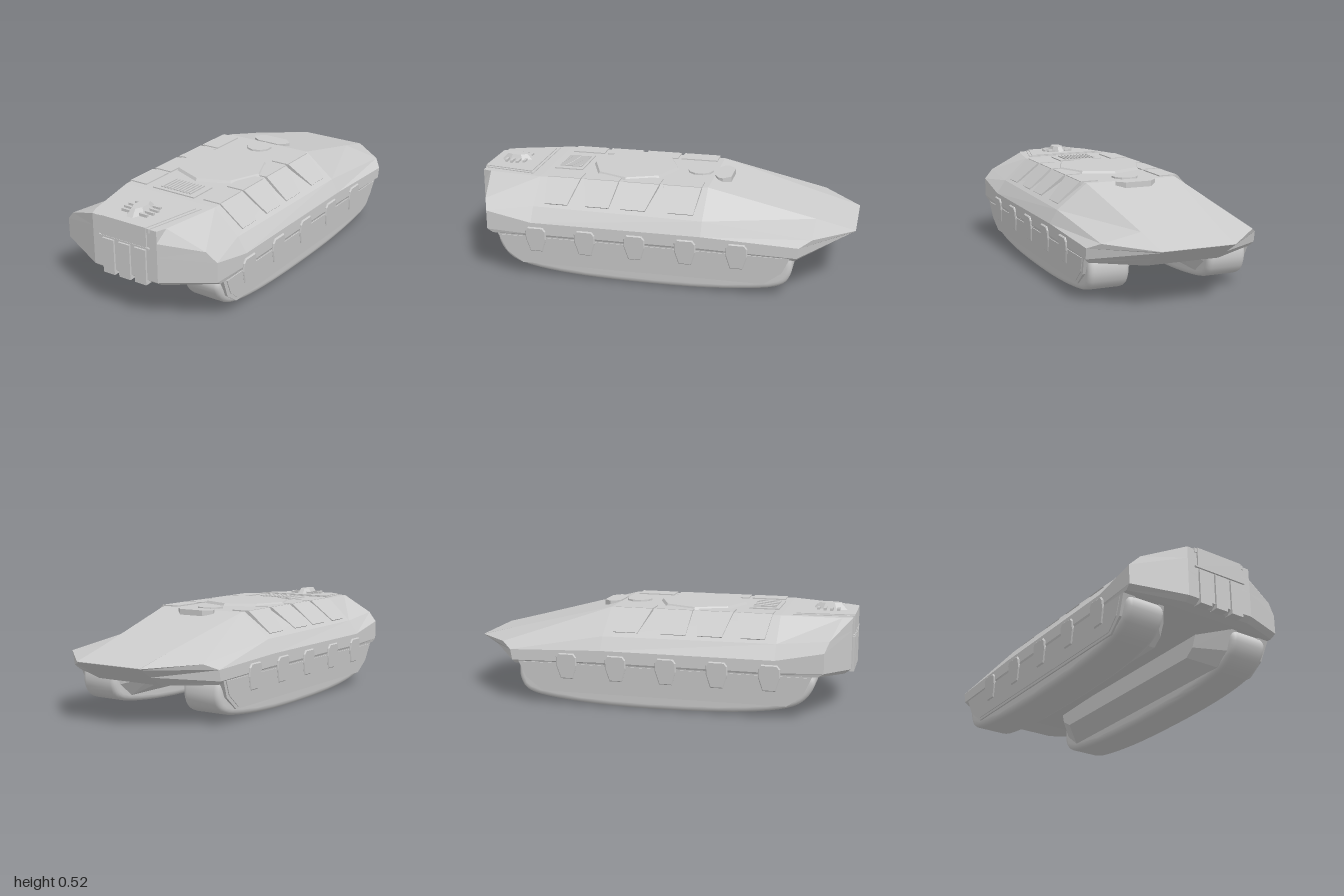
import * as THREE from 'three';
import { toCreasedNormals } from 'three/addons/utils/BufferGeometryUtils.js';

const flatGrey = new THREE.MeshStandardMaterial({ color: 0xcccccc, flatShading: true });
const smoothGrey = new THREE.MeshStandardMaterial({ color: 0xcccccc });

// Solid through a row of equal loops, capped at both ends
function loft(loops) {
  const n = loops[0].length, out = [];
  const quad = (a, b, c, d) => out.push(...a, ...b, ...c, ...a, ...c, ...d);
  for (let i = 0; i < loops.length - 1; i++) {
    const A = loops[i], B = loops[i + 1];
    for (let j = 0; j < n; j++) {
      const k = (j + 1) % n;
      quad(A[j], B[j], B[k], A[k]);
    }
  }
  const S = loops[0], E = loops[loops.length - 1];
  for (let k = 0; k < n / 2 - 1; k++) {
    quad(S[k], S[k + 1], S[n - 2 - k], S[n - 1 - k]);
    quad(E[n - 1 - k], E[n - 2 - k], E[k + 1], E[k]);
  }
  const g = new THREE.BufferGeometry();
  g.setAttribute('position', new THREE.Float32BufferAttribute(out, 3));
  g.computeVertexNormals();
  return g;
}

// Side outline of [z, y] points extruded from x0 to x1
function extrudeX(pts, x0, x1, bevel = 0, segments = 1) {
  const shape = new THREE.Shape(pts.map(([z, y]) => new THREE.Vector2(-z, y)));
  const g = new THREE.ExtrudeGeometry(shape, {
    depth: x1 - x0 - 2 * bevel, bevelEnabled: bevel > 0, bevelSize: bevel,
    bevelThickness: bevel, bevelOffset: -bevel, bevelSegments: segments,
  });
  return g.rotateY(Math.PI / 2).translate(x0 + bevel, 0, 0);
}

// Plan outline of [x, z] points extruded from y0 to y1
function extrudeY(pts, y0, y1) {
  const shape = new THREE.Shape(pts.map(([x, z]) => new THREE.Vector2(x, -z)));
  const g = new THREE.ExtrudeGeometry(shape, { depth: y1 - y0, bevelEnabled: false });
  return g.rotateX(-Math.PI / 2).translate(0, y0, 0);
}

function box(x0, x1, y0, y1, z0, z1) {
  return new THREE.BoxGeometry(x1 - x0, y1 - y0, z1 - z0)
    .translate((x0 + x1) / 2, (y0 + y1) / 2, (z0 + z1) / 2);
}

// Mirror across x = 0 and restore the winding
function mirrored(geo) {
  const g = geo.index ? geo.toNonIndexed() : geo.clone();
  g.scale(-1, 1, 1);
  for (const key of ['position', 'normal']) {
    const a = g.attributes[key].array;
    for (let i = 0; i < a.length; i += 9)
      for (let c = 0; c < 3; c++) [a[i + c], a[i + 6 + c]] = [a[i + 6 + c], a[i + c]];
  }
  return g;
}

// Lean the outer face inward toward the ground
function lean(g) {
  const p = g.attributes.position;
  for (let i = 0; i < p.count; i++) p.setX(i, p.getX(i) - (0.25 - p.getY(i)) * 0.09);
  g.computeVertexNormals();
  return g;
}

export function createModel() {
  const model = new THREE.Group();
  model.name = 'armouredVehicle';
  const add = (name, geo, mat = flatGrey) => {
    const m = new THREE.Mesh(geo, mat);
    m.name = name;
    model.add(m);
  };
  const pair = (name, geo, mat) => {
    add(name + 'Left', geo, mat);
    add(name + 'Right', mirrored(geo), mat);
  };

  // Hull: half sections from belly to deck edge, front to rear
  const halves = [
    [[0.19, 0.197, 0.96], [0.19, 0.22, 0.99], [0.19, 0.35, 0.99], [0.19, 0.42, 0.99], [0.19, 0.482, 0.99]],
    [[0.445, 0.23, 0.85], [0.45, 0.25, 0.88], [0.45, 0.35, 0.88], [0.4, 0.4, 0.9], [0.21, 0.484, 0.94]],
    [[0.445, 0.23, 0.64], [0.45, 0.24, 0.64], [0.45, 0.302, 0.64], [0.4, 0.375, 0.64], [0.27, 0.495, 0.64]],
    [[0.445, 0.23, -0.25], [0.45, 0.24, -0.25], [0.45, 0.302, -0.25], [0.41, 0.37, -0.25], [0.25, 0.495, -0.25]],
    [[0.43, 0.21, -0.72], [0.45, 0.23, -0.73], [0.45, 0.285, -0.74], [0.4, 0.315, -0.8], [0.2, 0.353, -0.8]],
    [[0.19, 0.2, -0.84], [0.19, 0.25, -0.92], [0.19, 0.294, -0.99], [0.19, 0.3, -1], [0.19, 0.302, -1]],
  ];
  const loops = halves.map(h => [...h, ...h.slice().reverse().map(([x, y, z]) => [-x, y, z])]);
  add('hull', loft(loops));

  // Tracks with rounded shoulders
  const track = new THREE.SplineCurve([
    [0.8, 0.25], [0.835, 0.19], [0.79, 0.105], [0.7, 0.055], [0.5, 0.022], [0.2, 0.006], [-0.2, 0.006],
    [-0.5, 0.028], [-0.65, 0.06], [-0.7, 0.12], [-0.705, 0.19], [-0.68, 0.25],
  ].map(p => new THREE.Vector2(...p))).getPoints(44).map(p => [p.x, p.y]);
  pair('track', toCreasedNormals(extrudeX(track, 0.21, 0.423, 0.028, 4), 0.6), smoothGrey);

  // Outer skirts and the pods inside the tracks
  const skirt = [[-0.7, 0.23], [-0.66, 0.14], [-0.57, 0.07], [0.7, 0.07], [0.78, 0.13], [0.825, 0.23]];
  pair('skirt', lean(extrudeX(skirt, 0.38, 0.447)));
  const lip = [[-0.68, 0.224], [-0.645, 0.15], [-0.56, 0.083], [0.69, 0.083], [0.76, 0.14], [0.8, 0.224]];
  pair('skirtPanel', lean(extrudeX(lip, 0.4, 0.451)));
  const podInner = [[-0.56, 0.24], [-0.54, 0.17], [-0.48, 0.132], [0.6, 0.132], [0.65, 0.17], [0.68, 0.24]];
  const at = (pts, x) => pts.map(([z, y]) => [x, y, z]);
  pair('innerPod', loft([at(podInner, 0.1), at(skirt, 0.21), at(skirt, 0.24)]));

  // Hanger pads along the skirts
  const pad = [[-0.04, 0.28], [-0.055, 0.26], [-0.055, 0.215], [-0.033, 0.145],
    [0.033, 0.145], [0.055, 0.215], [0.055, 0.26], [0.04, 0.28]];
  for (let i = 0; i < 5; i++) {
    const z = 0.615 - i * 0.262;
    pair('hangerPad' + i, lean(extrudeX(pad.map(([a, b]) => [a + z, b]), 0.4, 0.457, 0.005)));
  }

  // Sloped armour panels and their deck strips: top z range, bottom z range
  const panels = [[0.6, 0.42, 0.58, 0.46], [0.4, 0.215, 0.365, 0.24],
    [0.19, 0, 0.18, 0.05], [-0.02, -0.22, -0.07, -0.2]];
  panels.forEach(([t0, t1, b0, b1], i) => {
    const layer = d => [[0.27, 0.495, t0], [0.385, 0.388, b0], [0.385, 0.388, b1], [0.27, 0.495, t1]]
      .map(([x, y, z]) => [x + d * 0.69, y + d * 0.72, z]);
    pair('sidePanel' + i, loft([layer(0.007), layer(-0.02)]));
    pair('deckStrip' + i, box(0.175, 0.27, 0.485, 0.501, t1, t0));
  });

  // Roof ring and hatches
  add('roofRing', new THREE.CylinderGeometry(0.225, 0.242, 0.025, 8).translate(0, 0.496, 0.19));
  add('roundHatch', new THREE.CylinderGeometry(0.068, 0.07, 0.02, 10).translate(0, 0.494, -0.165));
  add('rearHatch', extrudeY([[-0.11, -0.3], [-0.07, -0.34], [0.07, -0.34], [0.11, -0.3],
    [0.1, -0.275], [0.06, -0.25], [-0.06, -0.25], [-0.1, -0.275]], 0.46, 0.501));

  // Engine grille
  add('grillePlate', box(-0.125, 0.125, 0.485, 0.501, 0.455, 0.61));
  for (let i = 0; i < 10; i++) {
    const x = -0.085 + i * 0.0189;
    add('grilleSlat' + i, box(x - 0.005, x + 0.005, 0.495, 0.507, 0.47, 0.59));
  }

  // Front hatch, sloping forward and folded over the nose
  const trapezoid = (back, front, z0, z1, dy) => {
    const ring = d => [[-back, 0.495 + d, z0], [-front, 0.484 + d, z1],
      [front, 0.484 + d, z1], [back, 0.495 + d, z0]];
    return loft([ring(dy), ring(-0.02)]);
  };
  add('frontHatchRim', trapezoid(0.23, 0.15, 0.695, 0.995, 0.002));
  add('frontHatch', trapezoid(0.21, 0.133, 0.71, 0.998, 0.006));
  add('nosePlate', box(-0.135, 0.135, 0.39, 0.484, 0.97, 0.998));
  add('noseLedge', box(-0.15, 0.15, 0.382, 0.39, 0.97, 1));
  for (const x of [-0.095, 0, 0.095])
    add('noseStrip', box(x - 0.034, x + 0.034, 0.195, 0.375, 0.95, 1));

  // Sensor housing with side prongs
  add('sensorHousing', new THREE.CylinderGeometry(0.03, 0.048, 0.035, 8)
    .rotateY(Math.PI / 8).scale(1, 1, 2).translate(0, 0.508, 0.86));
  for (let i = 0; i < 4; i++) {
    const z = 0.805 + i * 0.034, reach = i % 3 ? 0.088 : 0.075;
    pair('sensorProng' + i, box(0.03, reach, 0.494, 0.508, z - 0.007, z + 0.007));
  }
  return model;
}
